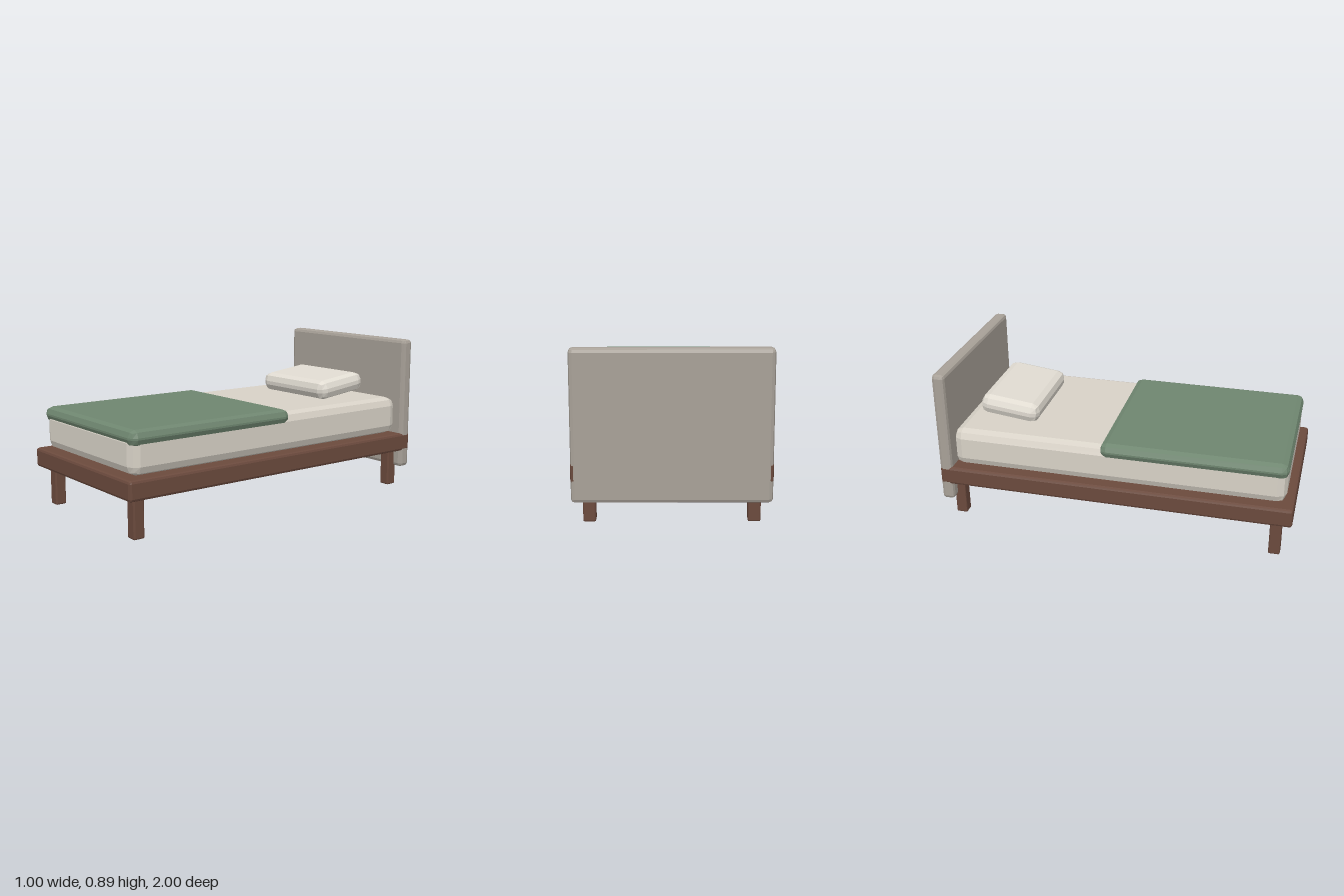
import * as THREE from 'three';
import { RoundedBoxGeometry } from 'three/addons/geometries/RoundedBoxGeometry.js';

export function createModel() {
  const bed = new THREE.Group();
  bed.name = 'bed';

  const paint = (color) => new THREE.MeshStandardMaterial({ color, flatShading: true });
  const wood = paint(0x6b4a3d);
  const upholstery = paint(0xa8a198);
  const sheet = paint(0xd8d2c7);
  const linen = paint(0xe0dbd1);
  const wool = paint(0x6f8670);

  // Softened box given by its extents on each axis
  function softBox(name, [x0, x1], [y0, y1], [z0, z1], radius, material) {
    const geometry = new RoundedBoxGeometry(x1 - x0, y1 - y0, z1 - z0, 1, radius);
    const mesh = new THREE.Mesh(geometry, material);
    mesh.name = name;
    mesh.position.set((x0 + x1) / 2, (y0 + y1) / 2, (z0 + z1) / 2);
    bed.add(mesh);
    return mesh;
  }

  // Platform, with its rear end let into the headboard
  softBox('bedFrame', [-0.5, 0.5], [0.215, 0.323], [-0.998, 1], 0.015, wood);
  softBox('headboard', [-0.499, 0.499], [0.115, 0.89], [-1, -0.927], 0.02, upholstery);

  // Four square legs
  for (const side of [1, -1]) {
    for (const end of [1, -1]) {
      const x = side * 0.412, z = end * 0.912;
      const name = `${end > 0 ? 'front' : 'back'}${side > 0 ? 'Left' : 'Right'}Leg`;
      softBox(name, [x - 0.032, x + 0.032], [0, 0.218], [z - 0.032, z + 0.032], 0.008, wood);
    }
  }

  // Bedding
  softBox('mattress', [-0.455, 0.455], [0.323, 0.542], [-0.925, 0.955], 0.05, sheet);
  softBox('blanket', [-0.465, 0.465], [0.475, 0.561], [-0.07, 0.96], 0.038, wool);

  // Pillow leans up towards the headboard
  const pillow = softBox('pillow', [-0.277, 0.277], [0.555, 0.668], [-0.823, -0.477], 0.045, linen);
  pillow.rotation.x = 0.12;

  return bed;
}
